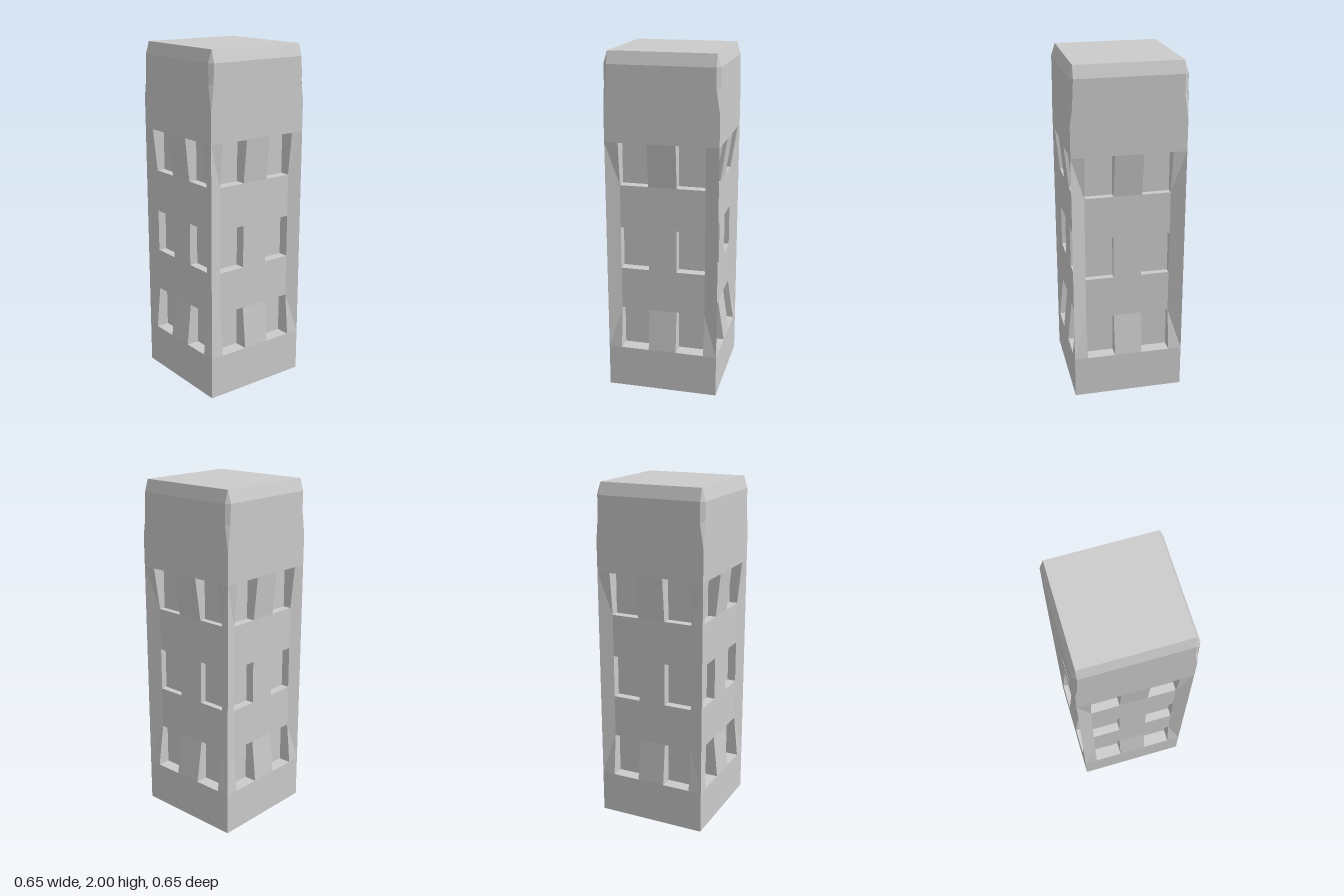
import * as THREE from 'three';

const W = 0.325;      // half width of the tower
const T = 0.3025;     // half width of the roof
const XS = [-W, -0.247, -0.082, 0.082, 0.247, W];
const YS = [0, 0.25, 0.5, 0.75, 1, 1.25, 1.5];

// Per side: how far the middle storeys sink in, and distance of the panes from the axis
const SIDES = [
  { name: 'frontSide', dent: 0.025, pane: 0.24 },
  { name: 'leftSide', dent: 0.038, pane: 0.25 },
  { name: 'backSide', dent: 0.025, pane: 0.25 },
  { name: 'rightSide', dent: 0.025, pane: 0.25 },
];

const material = new THREE.MeshStandardMaterial({
  color: 0xcccccc, flatShading: true, side: THREE.DoubleSide,
});

// Mesh from a list of convex polygons, each fanned from its first corner
function polyMesh(name, polygons) {
  const positions = [];
  for (const p of polygons) {
    for (let i = 1; i < p.length - 1; i++) positions.push(...p[0], ...p[i], ...p[i + 1]);
  }
  const geometry = new THREE.BufferGeometry();
  geometry.setAttribute('position', new THREE.Float32BufferAttribute(positions, 3));
  geometry.computeVertexNormals();
  const mesh = new THREE.Mesh(geometry, material);
  mesh.name = name;
  return mesh;
}

function createSide({ name, dent, pane }) {
  const side = new THREE.Group();
  side.name = name;
  const wall = [];

  // Point of the wall: the centre panel is sunk between the first and third floors
  const wallPoint = (i, j) => {
    const sunk = i > 0 && i < 5 && j >= 2 && j <= 5;
    return [XS[i], YS[j], sunk ? W - dent : W];
  };

  // Wall grid with recessed windows
  for (let j = 0; j < 6; j++) {
    for (let i = 0; i < 5; i++) {
      const cell = [wallPoint(i, j), wallPoint(i + 1, j), wallPoint(i + 1, j + 1), wallPoint(i, j + 1)];
      const isWindow = (i === 1 || i === 3) && j % 2 === 1;
      if (isWindow) {
        const glass = cell.map(([x, y]) => [x, y, pane]);
        const reveals = cell.map((p, k) => {
          const n = (k + 1) % 4;
          return [p, cell[n], glass[n], glass[k]];
        });
        side.add(polyMesh('windowRecess', [glass, ...reveals]));
      } else {
        // Mirror the folds of the bent corner strips
        if ((i > 2) !== (j > 2)) cell.push(cell.shift());
        wall.push(cell);
      }
    }
  }

  // Plain top storey, narrowing where the corners are cut
  wall.push([
    [-W, 1.5, W], [W, 1.5, W], [W, 1.68, W], [T, 1.82, W],
    [T, 1.93, W], [-T, 1.93, W], [-T, 1.82, W], [-W, 1.68, W],
  ]);
  side.add(polyMesh('wall', wall));

  // Sloped edge below the roof
  side.add(polyMesh('roofBevel', [[[-T, 1.93, W], [T, 1.93, W], [T, 2, T], [-T, 2, T]]]));

  // Cut corner
  const low = [W, 1.68, W], tip = [T, 2, T];
  const a0 = [W, 1.82, T], a1 = [W, 1.93, T];
  const b0 = [T, 1.82, W], b1 = [T, 1.93, W];
  side.add(polyMesh('cutCorner', [[low, a0, b0], [a0, a1, b1, b0], [a1, tip, b1]]));
  return side;
}

export function createModel() {
  const tower = new THREE.Group();
  tower.name = 'tower';

  // Four sides, turning from the front over the left to the back
  SIDES.forEach((options, k) => {
    const side = createSide(options);
    side.rotation.y = k * Math.PI / 2;
    tower.add(side);
  });

  // Flat roof and underside
  tower.add(polyMesh('roof', [[[-T, 2, T], [T, 2, T], [T, 2, -T], [-T, 2, -T]]]));
  tower.add(polyMesh('base', [[[-W, 0, -W], [W, 0, -W], [W, 0, W], [-W, 0, W]]]));
  return tower;
}
